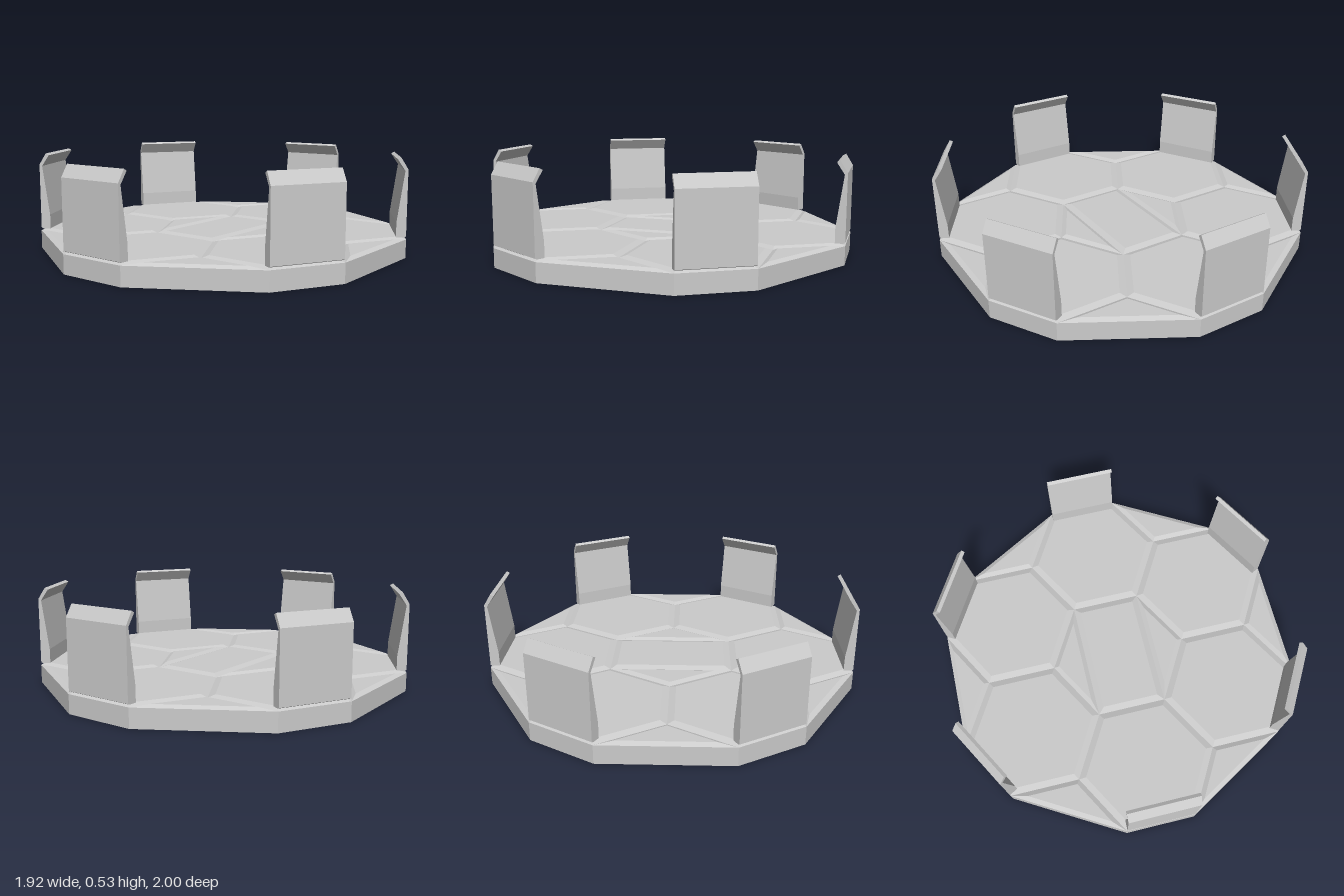
import * as THREE from 'three';

const S = 0.385;               // hexagon side
const D = S * Math.sqrt(3);    // spacing of hexagon centres
const RIM = 0.1, TOP = 0.112;  // groove height and tile height

const material = new THREE.MeshStandardMaterial({ color: 0xcccccc, flatShading: true });

// Turns a point [x, z] about the vertical axis
const turn = ([x, z], a) => [
  x * Math.cos(a) + z * Math.sin(a),
  z * Math.cos(a) - x * Math.sin(a),
];

// Moves every edge of a convex polygon inward by w
function inset(pts, w) {
  const n = pts.length;
  return pts.map((p, i) => {
    const a = new THREE.Vector2(...pts[(i + n - 1) % n]);
    const b = new THREE.Vector2(...p);
    const c = new THREE.Vector2(...pts[(i + 1) % n]);
    const u = a.sub(b).normalize(), v = c.sub(b).normalize();
    const half = Math.acos(u.dot(v)) / 2;
    const dir = u.add(v).normalize().multiplyScalar(w / Math.sin(half));
    return [b.x + dir.x, b.y + dir.y];
  });
}

// Shallow tile: sloped border round a flat top
function tile(points, bevel, name) {
  const area = points.reduce((s, [x, z], i) => {
    const [x2, z2] = points[(i + 1) % points.length];
    return s + x * z2 - x2 * z;
  }, 0);
  const low = area > 0 ? [...points].reverse() : points;
  const high = inset(low, bevel);
  const n = low.length, pos = [];
  const put = ([x, z], y) => pos.push(x, y, z);
  for (let i = 0; i < n; i++) {
    const j = (i + 1) % n;
    put(low[i], RIM); put(low[j], RIM); put(high[j], TOP);
    put(low[i], RIM); put(high[j], TOP); put(high[i], TOP);
    if (i > 0 && i < n - 1) { put(high[0], TOP); put(high[i], TOP); put(high[j], TOP); }
  }
  const g = new THREE.BufferGeometry();
  g.setAttribute('position', new THREE.Float32BufferAttribute(pos, 3));
  g.computeVertexNormals();
  const mesh = new THREE.Mesh(g, material);
  mesh.name = name;
  return mesh;
}

export function createModel() {
  const model = new THREE.Group();
  model.name = 'hexTray';
  const angles = [0, 1, 2, 3, 4, 5].map(k => k * Math.PI / 3);

  // Twelve-sided base slab
  const outline = angles.flatMap(a => [turn([-S / 2, 1.5 * D], a), turn([S / 2, 1.5 * D], a)]);
  const slab = new THREE.ExtrudeGeometry(
    new THREE.Shape(outline.map(([x, z]) => new THREE.Vector2(x, -z))),
    { depth: RIM, bevelEnabled: false });
  slab.rotateX(-Math.PI / 2);
  const base = new THREE.Mesh(slab, material);
  base.name = 'base';
  model.add(base);

  // Floor tiles: ring of hexagons with triangles filling the rim
  const floor = new THREE.Group();
  floor.name = 'floorTiles';
  const hexagon = angles.map(a => turn([S / 2, D / 2], a));
  for (const a of angles) {
    floor.add(tile(hexagon.map(([x, z]) => turn([x, z + D], a)), 0.035, 'hexTile'));
    floor.add(tile([[S / 2, 1.5 * D], [S, D], [2 * S, D]].map(p => turn(p, a)), 0.025, 'rimTile'));
  }
  // Middle tile: a rectangle with a triangle at either side
  const h = S / 2, d = D / 2;
  floor.add(tile([[-h, -d], [h, -d], [h, d], [-h, d]], 0.035, 'centreTile'));
  for (const s of [-1, 1]) {
    floor.add(tile([[s * h, -d], [s * S, 0], [s * h, d]], 0.025, 'centreSideTile'));
  }
  model.add(floor);

  // Upright clips with an inward-bent lip, one on each long edge
  const profile = [[1, 0.115], [1, 0.47], [0.962, 0.532], [0.945, 0.522],
    [0.985, 0.462], [0.948, 0.19], [0.948, 0.11], [0.99, 0.11]];
  const clipGeometry = new THREE.ExtrudeGeometry(
    new THREE.Shape(profile.map(p => new THREE.Vector2(...p))),
    { depth: S - 0.006, bevelEnabled: false });
  clipGeometry.translate(0, 0, -(S - 0.006) / 2);
  clipGeometry.rotateY(-Math.PI / 2);
  for (const a of angles) {
    const clip = new THREE.Mesh(clipGeometry, material);
    clip.name = 'clip';
    clip.rotation.y = a;
    model.add(clip);
  }
  return model;
}
